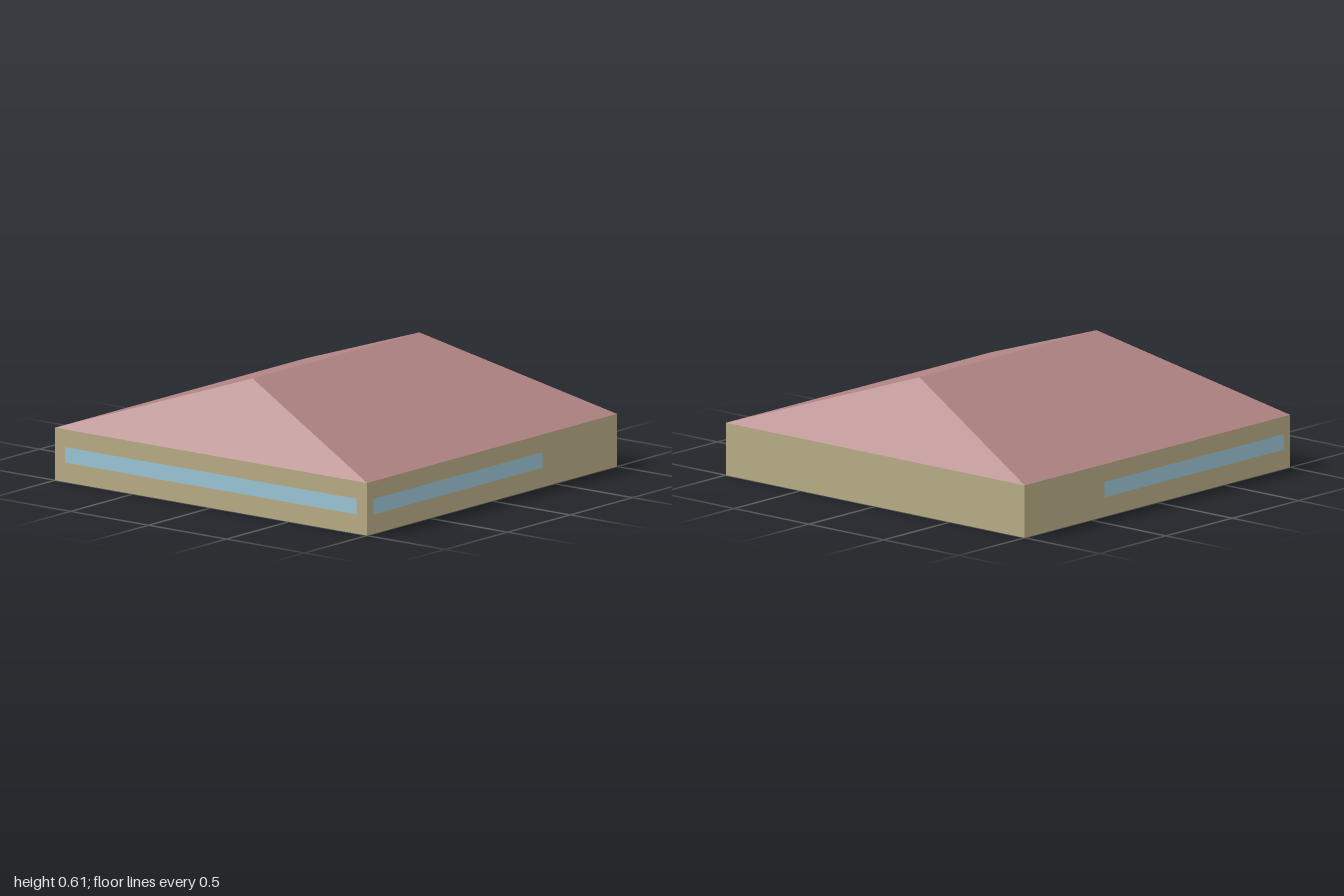
import * as THREE from 'three';

const EAVE = 0.27, RIDGE = 0.605, RIDGE_END = 0.667;

export function createModel() {
  const house = new THREE.Group();
  house.name = 'house';
  const paint = (color) => new THREE.MeshStandardMaterial({ color, flatShading: true });
  const wallMat = paint(0xb8ad86), roofMat = paint(0xb08383);
  const glassMat = paint(0x9cc6d6), floorMat = paint(0xcccccc);

  const panel = (name, w, h, material, parent, x, y, z) => {
    const mesh = new THREE.Mesh(new THREE.PlaneGeometry(w, h), material);
    mesh.name = name;
    mesh.position.set(x, y, z);
    parent.add(mesh);
    return mesh;
  };

  // Four walls, each turned about the centre; window = [centre along wall, width]
  const sides = [
    ['front', 0, [0, 1.87]],
    ['left', 1, [-0.275, 1.35]],
    ['back', 2, null],
    ['right', 3, [0.275, 1.35]],
  ];
  for (const [side, turns, win] of sides) {
    const group = new THREE.Group();
    group.name = side + 'Side';
    group.rotation.y = turns * Math.PI / 2;
    panel(side + 'Wall', 2, EAVE, wallMat, group, 0, EAVE / 2, 1);
    if (win) panel(side + 'Window', win[1], 0.08, glassMat, group, win[0], 0.14, 1.002);
    house.add(group);
  }

  // Floor seen from below
  panel('floor', 2, 2, floorMat, house, 0, 0, 0).rotation.x = Math.PI / 2;

  // Hipped roof: four eave corners and two ridge ends
  const corners = [
    -1, EAVE, 1, 1, EAVE, 1, 1, EAVE, -1, -1, EAVE, -1,
    0, RIDGE, RIDGE_END, 0, RIDGE, -RIDGE_END,
  ];
  const faces = [0, 1, 4, 2, 3, 5, 1, 2, 5, 1, 5, 4, 3, 0, 4, 3, 4, 5];
  const indexed = new THREE.BufferGeometry();
  indexed.setAttribute('position', new THREE.Float32BufferAttribute(corners, 3));
  indexed.setIndex(faces);
  const roofGeo = indexed.toNonIndexed();
  roofGeo.computeVertexNormals();
  const roof = new THREE.Mesh(roofGeo, roofMat);
  roof.name = 'hippedRoof';
  house.add(roof);

  return house;
}
